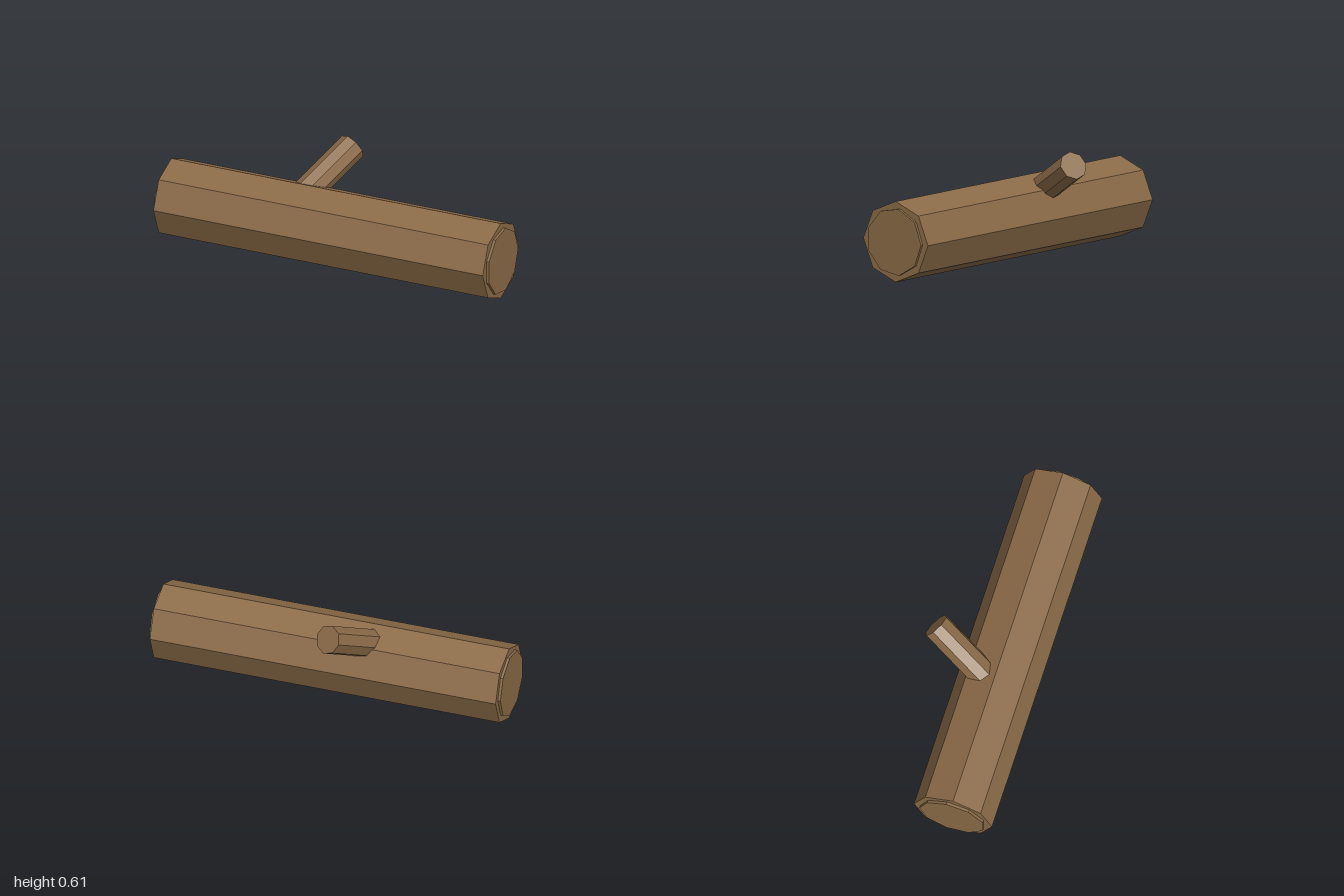
import * as THREE from 'three';

export function createModel() {
  const group = new THREE.Group();
  const bark = new THREE.MeshStandardMaterial({ color: 0x8b6b47, flatShading: true });
  bark.name = 'brown wood';

  const add = (name, geometry, x, y, z) => {
    const mesh = new THREE.Mesh(geometry, bark);
    mesh.name = name;
    mesh.position.set(x, y, z);
    group.add(mesh);
    return mesh;
  };

  // Eight-sided trunk lying along x, with a corner at the top
  const trunk = new THREE.CylinderGeometry(0.22, 0.22, 1.97, 8);
  trunk.rotateZ(Math.PI / 2);
  add('trunk', trunk, 0, 0.22, 0.102);

  // Nine-sided cut faces standing slightly proud of both ends
  for (const side of [-1, 1]) {
    const cut = new THREE.CylinderGeometry(0.184, 0.184, 0.03, 9);
    cut.rotateY(Math.PI); // one corner towards the back
    cut.rotateZ(Math.PI / 2);
    add(side > 0 ? 'leftCutEnd' : 'rightCutEnd', cut, side * 0.985, 0.221, 0.102);
  }

  // Branch stub leaning up, back and to the left; its origin is the outer tip
  const length = 0.46;
  const stub = new THREE.CylinderGeometry(0.079, 0.079, length, 8);
  stub.rotateY(-0.19);
  stub.translate(0, -length / 2, 0);
  add('branchStub', stub, -0.085, 0.5365, -0.277)
    .rotation.set(-Math.PI / 3, 0, -Math.PI / 9);

  return group;
}
